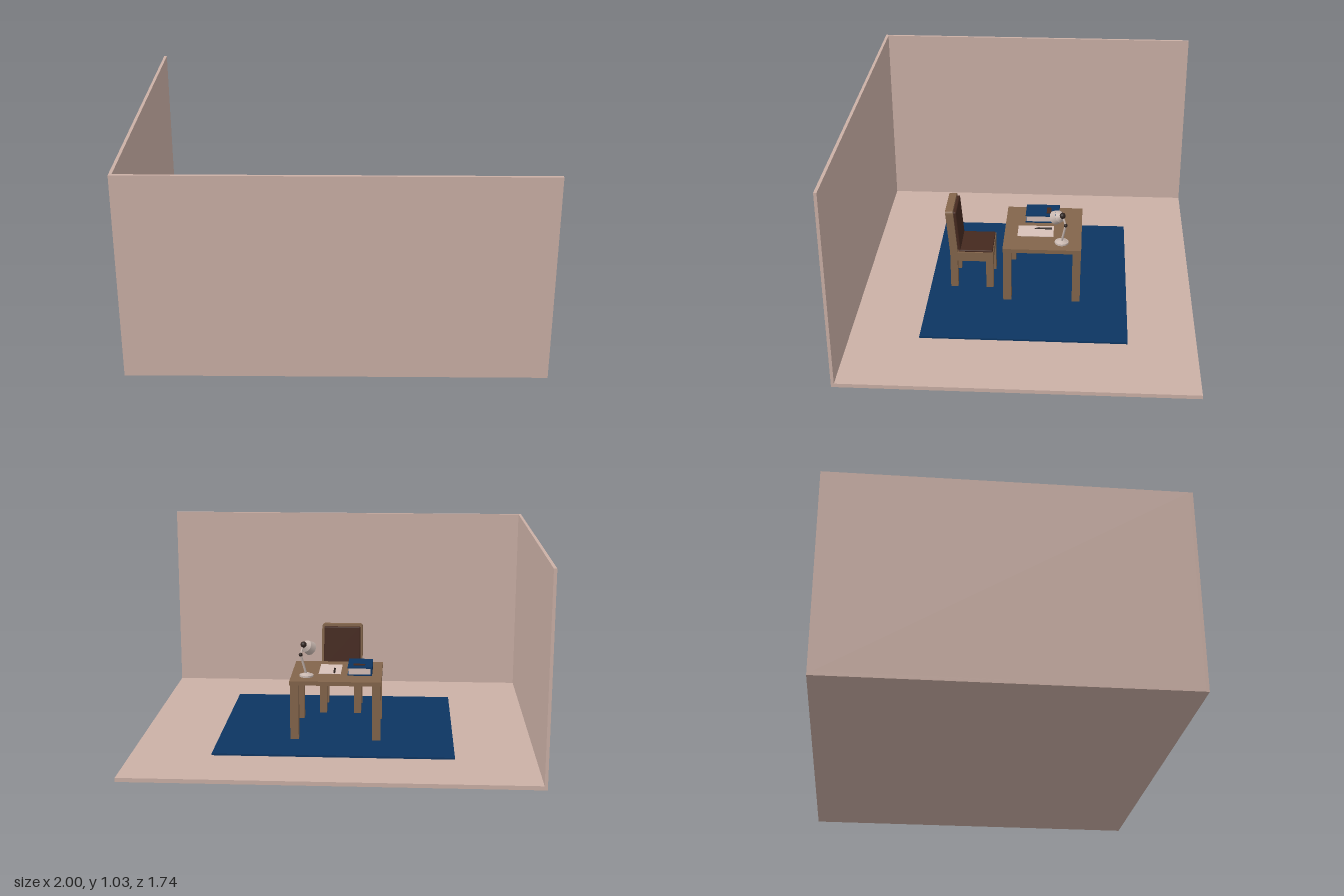
import * as THREE from 'three';
import { RoundedBoxGeometry } from 'three/addons/geometries/RoundedBoxGeometry.js';

const mat = (name, color, side = THREE.FrontSide) => {
  const m = new THREE.MeshStandardMaterial({ color, side });
  m.name = name;
  return m;
};

export function createModel() {
  const plaster = mat('plaster', 0xcbb0a6);
  const wood = mat('wood', 0x83654b);
  const leather = mat('leather', 0x45291f);
  const blue = mat('blue', 0x0c3562);
  const paper = mat('paper', 0xd8c1b9);
  const metal = mat('lampMetal', 0xc9b8b0, THREE.DoubleSide);
  const dark = mat('darkMetal', 0x2d221e);

  const group = (name, parent) => {
    const g = new THREE.Group();
    g.name = name;
    parent.add(g);
    return g;
  };
  const add = (parent, name, geo, material) => {
    const m = new THREE.Mesh(geo, material);
    m.name = name;
    parent.add(m);
    return m;
  };
  // Box given by its extents on each axis
  const box = (parent, name, material, [x0, x1], [y0, y1], [z0, z1], r = 0) => {
    const s = [x1 - x0, y1 - y0, z1 - z0];
    const geo = r ? new RoundedBoxGeometry(...s, 2, r) : new THREE.BoxGeometry(...s);
    const m = add(parent, name, geo, material);
    m.position.set((x0 + x1) / 2, (y0 + y1) / 2, (z0 + z1) / 2);
    return m;
  };
  // Cylinder or cone between two points
  const rod = (parent, name, material, a, b, rA, rB = rA, open = false) => {
    const p = new THREE.Vector3(...a), q = new THREE.Vector3(...b);
    const d = q.clone().sub(p);
    const m = add(parent, name, new THREE.CylinderGeometry(rB, rA, d.length(), 20, 1, open), material);
    m.position.copy(p).add(q).multiplyScalar(0.5);
    m.quaternion.setFromUnitVectors(new THREE.Vector3(0, 1, 0), d.normalize());
    return m;
  };
  const ball = (parent, name, material, p, r) =>
    add(parent, name, new THREE.SphereGeometry(r, 16, 12), material).position.set(...p);

  const model = new THREE.Group();
  model.name = 'study';

  // Room: floor with two walls, and a rug
  const room = group('room', model);
  box(room, 'floor', plaster, [-1, 1], [0, 0.02], [-0.87, 0.87]);
  box(room, 'frontWall', plaster, [-1, 1], [0.005, 1.028], [0.855, 0.87]);
  box(room, 'sideWall', plaster, [-1, -0.985], [0.005, 1.028], [-0.87, 0.855]);
  box(room, 'rug', blue, [-0.59, 0.6], [0.02, 0.029], [-0.53, 0.505]);

  // Table
  const table = group('table', model);
  box(table, 'tableTop', wood, [-0.225, 0.238], [0.313, 0.334], [-0.289, 0.114]);
  for (const x of [-0.222, 0.192])
    for (const z of [-0.287, 0.07])
      box(table, 'tableLeg', wood, [x, x + 0.043], [0.026, 0.314], [z, z + 0.042]);

  // Chair, facing the table
  const chair = group('chair', model);
  box(chair, 'seatFrame', wood, [-0.107, 0.117], [0.186, 0.237], [0.172, 0.398]);
  for (const x of [-0.107, 0.079])
    for (const z of [0.172, 0.36])
      box(chair, 'chairLeg', wood, [x, x + 0.038], [0.026, 0.187], [z, z + 0.038]);
  box(chair, 'seatCushion', leather, [-0.1, 0.11], [0.234, 0.247], [0.175, 0.355], 0.005);

  // Leaning back with rounded top corners
  const w = 0.112, h = 0.245, r = 0.018;
  const s = new THREE.Shape();
  s.moveTo(-w, 0);
  s.lineTo(w, 0);
  s.lineTo(w, h - r);
  s.quadraticCurveTo(w, h, w - r, h);
  s.lineTo(-w + r, h);
  s.quadraticCurveTo(-w, h, -w, h - r);
  const back = group('chairBack', chair);
  add(back, 'backBoard', new THREE.ExtrudeGeometry(s, { depth: 0.04, bevelEnabled: false }), wood);
  box(back, 'backCushion', leather, [-0.1, 0.1], [0.01, 0.232], [-0.016, 0.004], 0.006);
  back.position.set(0.005, 0.234, 0.358);
  back.rotation.x = 0.085;

  // Closed book with its spine on the right
  const book = group('book', model);
  box(book, 'pages', paper, [-0.168, -0.055], [0.34, 0.372], [-0.162, 0.005]);
  box(book, 'bottomCover', blue, [-0.173, -0.05], [0.334, 0.34], [-0.167, 0.01]);
  box(book, 'topCover', blue, [-0.173, -0.05], [0.372, 0.378], [-0.167, 0.01]);
  box(book, 'spine', blue, [-0.175, -0.168], [0.334, 0.378], [-0.167, 0.01]);
  box(book, 'label', leather, [-0.138, -0.078], [0.378, 0.38], [-0.125, -0.1]);

  // Sheet of paper and pen
  box(model, 'sheet', paper, [-0.014, 0.1], [0.334, 0.336], [-0.142, 0.045]);
  const pen = group('pen', model);
  rod(pen, 'penBarrel', dark, [0.02, 0.341, -0.132], [0.021, 0.341, -0.06], 0.005);
  rod(pen, 'penTip', dark, [0.021, 0.341, -0.06], [0.022, 0.339, -0.04], 0.005, 0.001);

  // Desk lamp
  const lamp = group('lamp', model);
  rod(lamp, 'lampBase', metal, [0.158, 0.334, -0.187], [0.158, 0.343, -0.187], 0.036);
  rod(lamp, 'lampBaseDome', metal, [0.158, 0.343, -0.187], [0.158, 0.352, -0.187], 0.032, 0.012);
  rod(lamp, 'lampArm', metal, [0.16, 0.345, -0.187], [0.186, 0.45, -0.207], 0.006);
  ball(lamp, 'lampJoint', dark, [0.186, 0.452, -0.207], 0.01);
  rod(lamp, 'lampNeck', metal, [0.186, 0.452, -0.207], [0.174, 0.498, -0.192], 0.005);
  ball(lamp, 'lampSocket', dark, [0.172, 0.5, -0.19], 0.016);
  rod(lamp, 'shadeTop', metal, [0.17, 0.498, -0.188], [0.16, 0.489, -0.175], 0.014, 0.031, true);
  rod(lamp, 'shadeRim', metal, [0.16, 0.489, -0.175], [0.14, 0.471, -0.151], 0.031, 0.036, true);
  ball(lamp, 'bulb', paper, [0.152, 0.482, -0.165], 0.014);

  return model;
}
